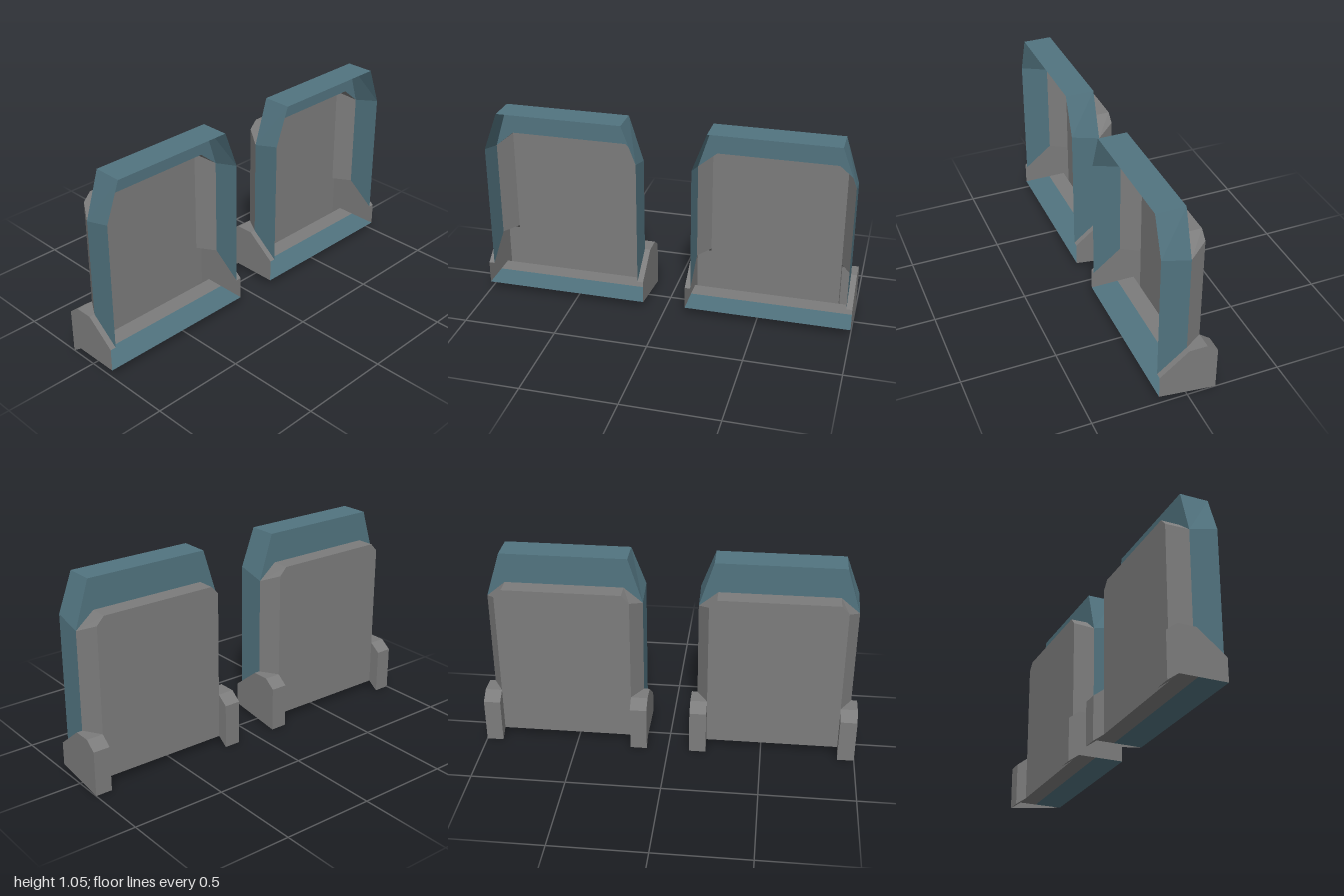
import * as THREE from 'three';

const grey = new THREE.MeshStandardMaterial({ color: 0x7c7c7c, side: THREE.DoubleSide });
grey.name = 'grey metal';
const teal = new THREE.MeshStandardMaterial({ color: 0x527480, side: THREE.DoubleSide });
teal.name = 'teal paint';

// depths (x) of the shell
const OUT = -0.153, BACK = -0.095, MID = 0, FRONT = 0.152;
// half widths (z) of one shell
const PANEL = 0.353, WALL = 0.412, END = 0.4425, ROOF = 0.335, PANEL_TOP = 0.3125;
// heights (y)
const FLOOR = 0.042, LIP = 0.165, CAP = 0.285, TOP = 1.055, PANEL_Y = 0.893;

// Flat sheets, each a polygon fanned from its first corner
function sheets(name, material, polygons) {
  const p = [];
  for (const poly of polygons)
    for (let i = 1; i < poly.length - 1; i++) p.push(...poly[0], ...poly[i], ...poly[i + 1]);
  const g = new THREE.BufferGeometry();
  g.setAttribute('position', new THREE.Float32BufferAttribute(p, 3));
  g.computeVertexNormals();
  const mesh = new THREE.Mesh(g, material);
  mesh.name = name;
  return mesh;
}

// Adds the copy mirrored across z
const mirrored = (polys) => [
  ...polys,
  ...polys.map((poly) => poly.map(([x, y, z]) => [x, y, -z]).reverse()),
];

// Sheet running the full width between two (x, y) points
const across = (a, b, w) => [[...a, -w], [...a, w], [...b, w], [...b, -w]];

function createShell() {
  const shell = new THREE.Group();

  // recessed back panel with clipped top corners
  shell.add(sheets('backPanel', grey, [[
    [BACK, FLOOR, -PANEL], [BACK, FLOOR, PANEL], [BACK, 0.85, PANEL], [BACK, PANEL_Y, PANEL_TOP],
    [BACK, PANEL_Y, -PANEL_TOP], [BACK, 0.85, -PANEL],
  ]]));

  // splayed sides and top joining the panel to the frame
  shell.add(sheets('panelSides', grey, [
    across([BACK, PANEL_Y], [MID, PANEL_Y], PANEL_TOP),
    ...mirrored([
      [[BACK, CAP, PANEL], [MID, CAP, WALL], [MID, 0.81, WALL], [BACK, 0.85, PANEL]],
      [[BACK, 0.85, PANEL], [MID, 0.81, WALL], [MID, PANEL_Y, PANEL_TOP], [BACK, PANEL_Y, PANEL_TOP]],
    ]),
  ]));

  // outer frame: side walls, sloped shoulders and roof
  shell.add(sheets('frameWalls', teal, [
    across([MID, TOP], [FRONT, TOP], ROOF),
    ...mirrored([
      [[MID, CAP, WALL], [FRONT, LIP, WALL], [FRONT, 0.85, WALL], [MID, 0.81, WALL]],
      [[MID, 0.81, WALL], [FRONT, 0.85, WALL], [FRONT, TOP, ROOF], [MID, TOP, ROOF]],
    ]),
  ]));

  // frame face above the panel
  shell.add(sheets('frameFace', teal, [
    [[MID, TOP, -ROOF], [MID, PANEL_Y, -PANEL_TOP], [MID, PANEL_Y, PANEL_TOP], [MID, TOP, ROOF]],
    ...mirrored([[[MID, 0.81, WALL], [MID, TOP, ROOF], [MID, PANEL_Y, PANEL_TOP]]]),
  ]));

  // floor
  shell.add(sheets('frontFloor', teal, [across([FRONT, FLOOR], [MID, FLOOR], END)]));
  shell.add(sheets('rearFloor', grey, [across([MID, FLOOR], [BACK, FLOOR], END)]));

  // hollow end brackets with a foot at the back
  shell.add(sheets('endBrackets', grey, mirrored([
    // end plate
    [[BACK, FLOOR, END], [FRONT, FLOOR, END], [FRONT, LIP, END], [MID, CAP, END],
      [BACK, CAP, END], [OUT, 0.24, END], [OUT, 0, END]],
    // inner cheek
    [[BACK, FLOOR, PANEL], [OUT, 0, PANEL], [OUT, 0.24, PANEL], [BACK, CAP, PANEL]],
    // back
    [[OUT, 0, PANEL], [OUT, 0, END], [OUT, 0.24, END], [OUT, 0.24, PANEL]],
    // sloped shoulder
    [[OUT, 0.24, PANEL], [OUT, 0.24, END], [BACK, CAP, END], [BACK, CAP, PANEL]],
    // top
    [[BACK, CAP, PANEL], [BACK, CAP, END], [MID, CAP, END], [MID, CAP, WALL]],
    // sloped ledge outside the frame wall
    [[MID, CAP, WALL], [MID, CAP, END], [FRONT, LIP, END], [FRONT, LIP, WALL]],
    // foot underside
    [[OUT, 0, END], [OUT, 0, PANEL], [BACK, FLOOR, PANEL], [BACK, FLOOR, END]],
  ])));
  return shell;
}

export function createModel() {
  const model = new THREE.Group();
  model.name = 'shellPair';
  for (const side of [1, -1]) {
    const shell = createShell();
    shell.name = side > 0 ? 'frontShell' : 'rearShell';
    shell.position.z = side * 0.5575;
    model.add(shell);
  }
  return model;
}
